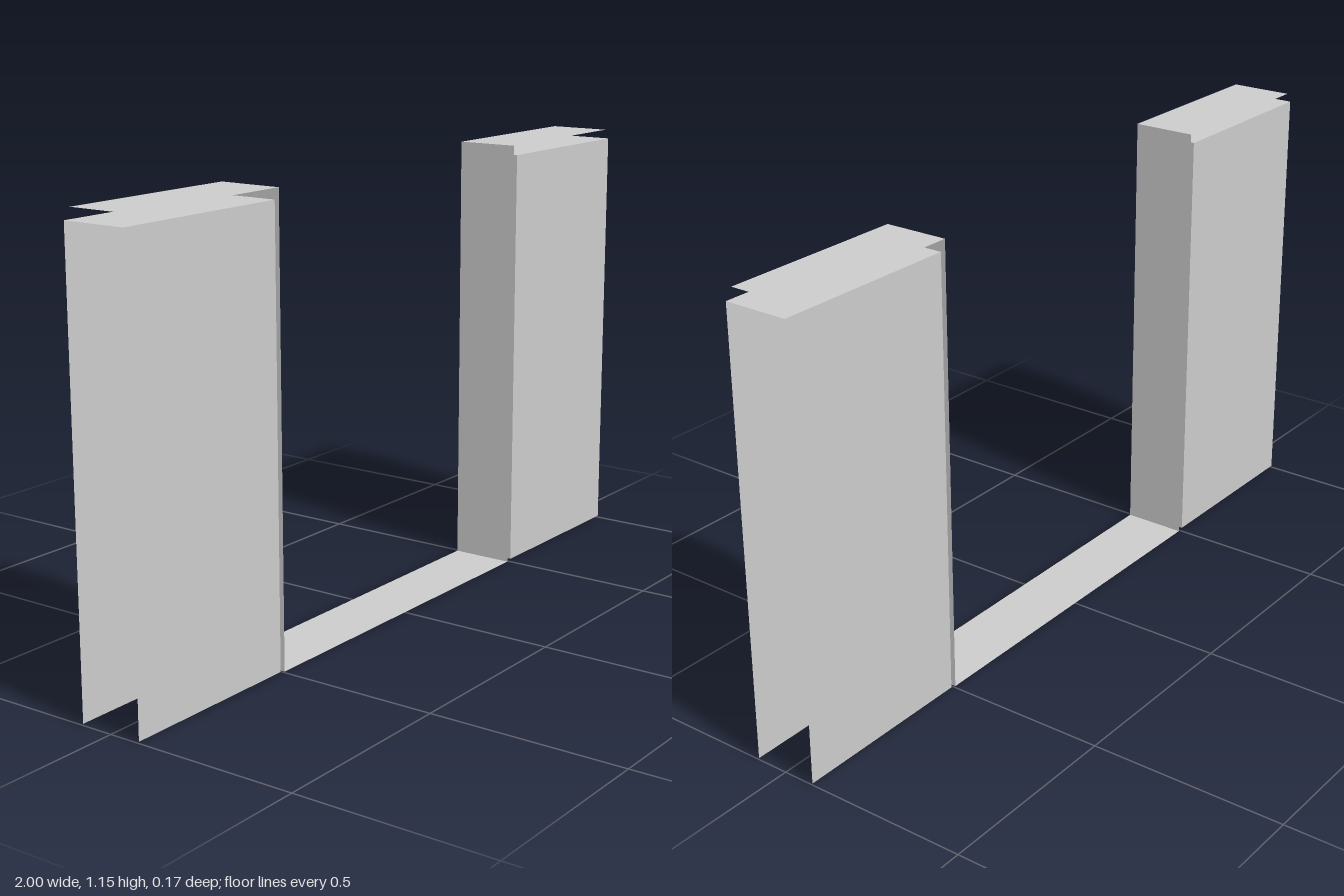
import * as THREE from 'three';

const DEPTH = 0.165;   // width of every strip across z
const INNER = 0.51;    // inner end of each hollow cover
const BASE = 0.004;    // bottom edge of the covers
const TOP = 1.12;      // top of the covers
const LINER = 0.495;   // half width of the opening
const CAP = 1.146;     // height of the cap strips

const material = new THREE.MeshStandardMaterial({ color: 0xcccccc, side: THREE.DoubleSide });

// Thin sheet centred at a position, turned by the given angles
function sheet(name, width, height, position, rotation = [0, 0, 0]) {
  const mesh = new THREE.Mesh(new THREE.PlaneGeometry(width, height), material);
  mesh.name = name;
  mesh.position.set(...position);
  mesh.rotation.set(...rotation);
  return mesh;
}

export function createModel() {
  const model = new THREE.Group();
  model.name = 'openingFrame';

  const up = [-Math.PI / 2, 0, 0];
  const coverWidth = 1 - INNER, coverHeight = TOP - BASE;
  const coverX = (1 + INNER) / 2, coverY = (TOP + BASE) / 2;
  const capWidth = 0.982 - LINER;

  for (const [side, s] of [['left', 1], ['right', -1]]) {
    const facingIn = [0, -s * Math.PI / 2, 0];

    // Hollow cover, open at the bottom and the outer end
    const cover = new THREE.Group();
    cover.name = side + 'Cover';
    cover.add(
      sheet('frontPanel', coverWidth, coverHeight, [s * coverX, coverY, DEPTH / 2]),
      sheet('backPanel', coverWidth, coverHeight, [s * coverX, coverY, -DEPTH / 2], [0, Math.PI, 0]),
      sheet('coverTop', coverWidth, DEPTH, [s * coverX, TOP, 0], up),
      sheet('coverEnd', DEPTH, coverHeight, [s * INNER, coverY, 0], facingIn)
    );

    // Lining of the opening, folded out over the cover
    const lining = new THREE.Group();
    lining.name = side + 'Lining';
    lining.add(
      sheet('liningWall', DEPTH, CAP, [s * LINER, CAP / 2, 0], facingIn),
      sheet('capStrip', capWidth, DEPTH, [s * (LINER + capWidth / 2), CAP, 0], up)
    );
    model.add(cover, lining);
  }

  // Sill joining the two lining walls
  model.add(sheet('sill', 2 * LINER, DEPTH, [0, 0, 0], up));
  return model;
}
